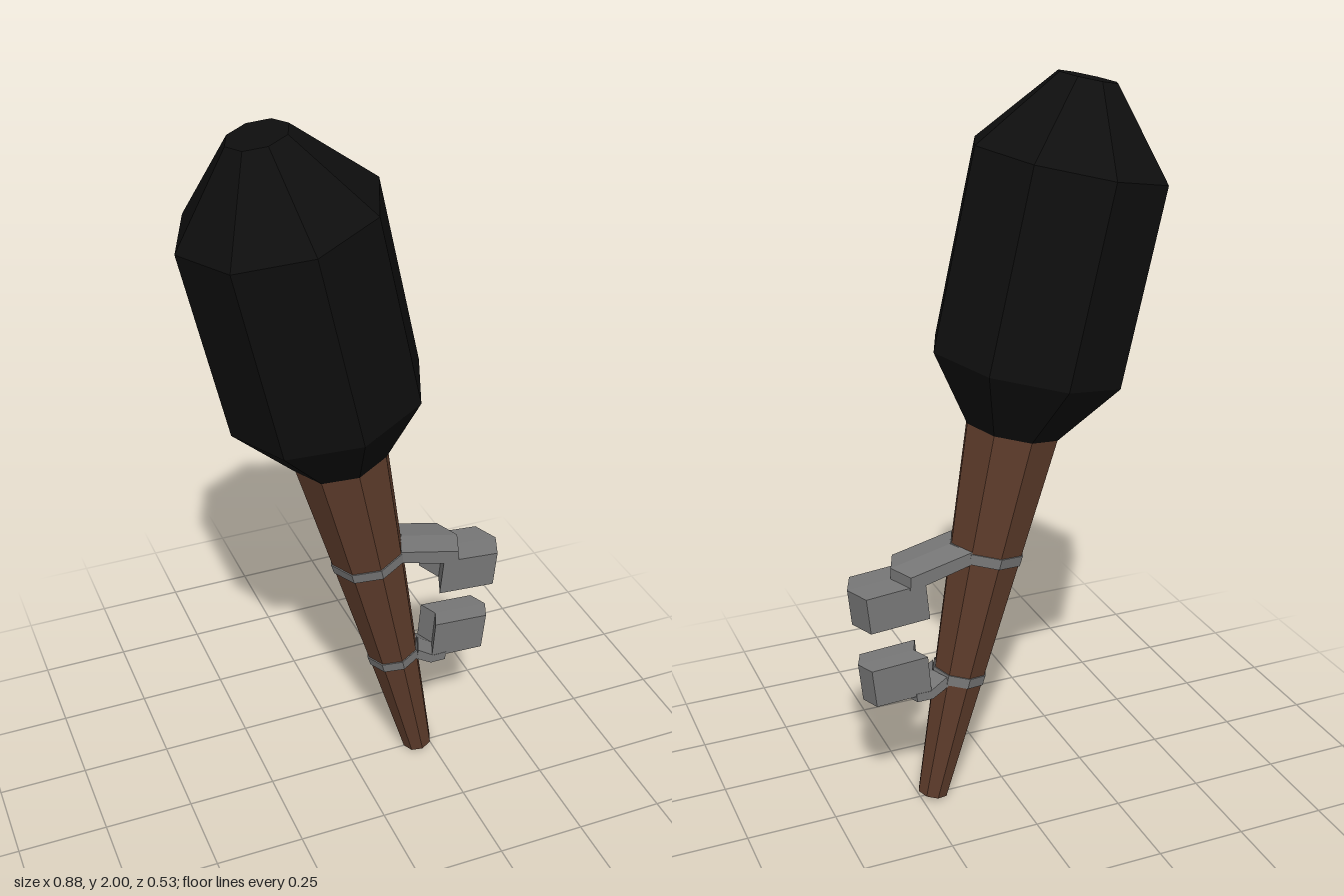
import * as THREE from 'three';

const paint = (color) => new THREE.MeshStandardMaterial({ color, flatShading: true });

// Prism of an xy outline (counter-clockwise), bent to a ridge of depth d at z = 0.
function chevronPrism(outline, halfWidth, d) {
  const n = outline.length;
  const layers = [[-halfWidth, 0], [0, d], [halfWidth, 0]];
  const pos = [], index = [];
  for (const [z, shift] of layers) for (const [x, y] of outline) pos.push(x + shift, y, z);
  for (let k = 0; k < 2; k++) {
    for (let i = 0; i < n; i++) {
      const j = (i + 1) % n;
      const a = k * n + i, b = k * n + j;
      index.push(a, b, b + n, a, b + n, a + n);
    }
  }
  const tris = THREE.ShapeUtils.triangulateShape(outline.map(([x, y]) => new THREE.Vector2(x, y)), []);
  for (const [a, b, c] of tris) {
    index.push(a, c, b, a + 2 * n, b + 2 * n, c + 2 * n);
  }
  const geo = new THREE.BufferGeometry();
  geo.setAttribute('position', new THREE.Float32BufferAttribute(pos, 3));
  geo.setIndex(index);
  const flat = geo.toNonIndexed();
  flat.computeVertexNormals();
  return flat;
}

export function createModel() {
  const root = new THREE.Group();
  const wood = paint(0x5e3c2b), black = paint(0x0e0e0e), metal = paint(0x777777);

  const add = (parent, name, geometry, material) => {
    const mesh = new THREE.Mesh(geometry, material);
    mesh.name = name;
    parent.add(mesh);
    return mesh;
  };

  // Leaning shaft: everything here is octagonal about the local y axis
  const shaft = new THREE.Group();
  shaft.name = 'leaningShaft';
  shaft.position.set(0.212, 0.013, 0);
  shaft.rotation.z = 0.222;
  root.add(shaft);

  const neck = 1.1, rBottom = 0.043, rNeck = 0.13;
  const handleRadius = (t) => rBottom + (rNeck - rBottom) * t / neck;
  add(shaft, 'handle', new THREE.CylinderGeometry(rNeck, rBottom, neck, 8, 1, true), wood).position.y = neck / 2;
  const cap = add(shaft, 'handleEnd', new THREE.CircleGeometry(rBottom, 8), metal);
  cap.rotation.x = Math.PI / 2;

  // Bulging head
  const profile = [[0, neck], [rNeck, neck], [0.263, 1.281], [0.263, 1.809], [0.08, 2.018], [0, 2.018]];
  add(shaft, 'head', new THREE.LatheGeometry(profile.map(([r, y]) => new THREE.Vector2(r, y)), 8), black);

  // Bands clamped round the handle
  for (const [name, t] of [['upperBand', 0.748], ['lowerBand', 0.379]]) {
    const h = 0.03, grow = 0.004;
    const geo = new THREE.CylinderGeometry(handleRadius(t + h / 2) + grow, handleRadius(t - h / 2) + grow, h, 8);
    add(shaft, name, geo, metal).position.y = t;
  }

  // Brackets and blocks reaching out from the bands
  add(root, 'upperBracket', chevronPrism(
    [[0.11, 0.745], [0.275, 0.7], [0.29, 0.7], [0.288, 0.738], [0.278, 0.74], [0.115, 0.779]], 0.075, 0.03), metal);
  add(root, 'upperBlock', chevronPrism(
    [[0.236, 0.606], [0.401, 0.594], [0.411, 0.697], [0.246, 0.711]], 0.072, 0.029), metal);
  add(root, 'lowerBracket', chevronPrism(
    [[0.18, 0.375], [0.225, 0.347], [0.27, 0.347], [0.272, 0.372], [0.232, 0.372], [0.184, 0.405]], 0.053, 0.022), metal);
  add(root, 'lowerBlock', chevronPrism(
    [[0.228, 0.366], [0.385, 0.359], [0.396, 0.469], [0.237, 0.479]], 0.052, 0.022), metal);

  return root;
}
